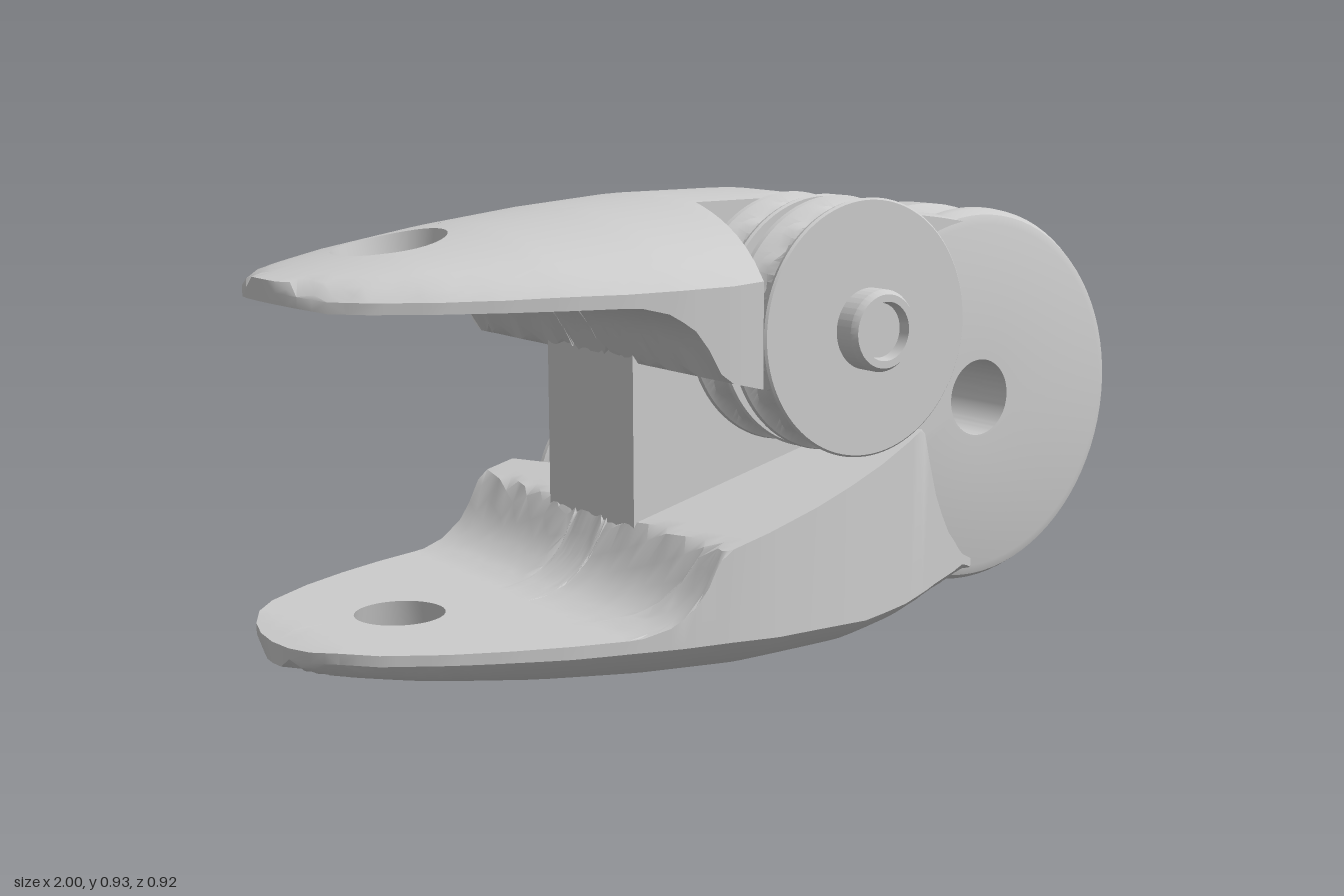
import * as THREE from 'three';
import { toCreasedNormals } from 'three/addons/utils/BufferGeometryUtils.js';

const MID = 0.468; // height of the axis about which the two halves mirror
const grey = new THREE.MeshStandardMaterial({ color: 0xcccccc });

function part(name, geometry, crease = 0.6) {
  const mesh = new THREE.Mesh(toCreasedNormals(geometry, crease), grey);
  mesh.name = name;
  return mesh;
}

// Linear interpolation in a list of [x, value]
function lookup(table, x) {
  if (x <= table[0][0]) return table[0][1];
  for (let i = 1; i < table.length; i++) {
    const [a, va] = table[i - 1], [b, vb] = table[i];
    if (x <= b) return va + (vb - va) * (x - a) / (b - a);
  }
  return table[table.length - 1][1];
}

// Split every edge longer than max, so that a flat slab can be bent smoothly
function subdivide(geometry, max) {
  const src = geometry.index ? geometry.toNonIndexed() : geometry;
  const p = src.attributes.position, out = [], stack = [];
  for (let i = 0; i < p.count; i += 3) {
    stack.push([0, 1, 2].map(k => new THREE.Vector3().fromBufferAttribute(p, i + k)));
  }
  while (stack.length) {
    const t = stack.pop();
    const len = [0, 1, 2].map(k => t[k].distanceTo(t[(k + 1) % 3]));
    const k = len.indexOf(Math.max(...len));
    if (len[k] <= max) { t.forEach(v => out.push(v.x, v.y, v.z)); continue; }
    const a = t[k], b = t[(k + 1) % 3], c = t[(k + 2) % 3];
    const m = a.clone().add(b).multiplyScalar(0.5);
    stack.push([a, m, c], [m, b, c]);
  }
  const g = new THREE.BufferGeometry();
  g.setAttribute('position', new THREE.Float32BufferAttribute(out, 3));
  return g;
}

// Half width of the leaf-shaped plan, crest height and underside height along x
const HALF = [[-1, 0], [-0.995, 0.06], [-0.98, 0.115], [-0.95, 0.17], [-0.9, 0.225], [-0.8, 0.29],
  [-0.7, 0.338], [-0.6, 0.377], [-0.5, 0.408], [-0.4, 0.432], [-0.3, 0.446], [-0.22, 0.449],
  [-0.1, 0.44], [0, 0.421], [0.1, 0.394], [0.2, 0.356], [0.3, 0.311], [0.45, 0.23], [0.57, 0.155]];
const CREST = [[-1, 0.815], [-0.8, 0.857], [-0.6, 0.89], [-0.4, 0.915], [-0.2, 0.932],
  [0.05, 0.934], [0.2, 0.917], [0.35, 0.889], [0.5, 0.872], [0.57, 0.87]];
const UNDER = [[-1, 0.775], [-0.95, 0.765], [-0.48, 0.765], [-0.42, 0.75], [-0.37, 0.715],
  [-0.34, 0.67], [-0.318, 0.624], [0.27, 0.476], [0.32, 0.606], [0.4, 0.716], [0.5, 0.796], [0.57, 0.826]];
const EYE = -0.745, SLOT = 0.19;

function topHeight(x, z) {
  const w = Math.min(1, Math.abs(z) / Math.max(0.05, lookup(HALF, x)));
  let y = lookup(CREST, x) - 0.5 * z * z - 0.03 * w ** 8;
  if (x > 0.2) y -= 0.045 * Math.exp(-(((z - 0.035) / 0.045) ** 4)); // rope channel
  return Math.max(y, lookup(UNDER, x) + 0.02);
}

function jaw() {
  // Plan: full leaf at the back, cut away for the sheaves at the front
  const back = HALF.map(([x, h]) => new THREE.Vector2(x, h)).reverse();
  const front = HALF.filter(([x]) => x > -1 && x < -0.23).map(([x, h]) => new THREE.Vector2(x, -h));
  const cut = [[-0.235, -0.448], [-0.17, -0.15], [0.57, -0.15]].map(p => new THREE.Vector2(...p));
  const shape = new THREE.Shape([...back, ...front, ...cut]);
  const eye = new THREE.Path().absarc(EYE, 0, 0.085, 0, Math.PI * 2, true);
  const slot = new THREE.Path();
  slot.absarc(SLOT, 0.03, 0.057, 0, Math.PI, false);
  slot.absarc(SLOT, -0.03, 0.057, Math.PI, Math.PI * 2, false);
  slot.closePath();
  shape.holes.push(eye, slot);

  const depth = 0.03;
  const flat = new THREE.ExtrudeGeometry(shape, { depth, bevelEnabled: false, curveSegments: 16 });
  flat.rotateX(-Math.PI / 2);
  const g = subdivide(flat, 0.045), p = g.attributes.position;
  for (let i = 0; i < p.count; i++) {
    let x = p.getX(i), z = p.getZ(i);
    const isTop = p.getY(i) > depth / 2;
    const d = Math.hypot(x - EYE, z);
    if (isTop && d < 0.16) { // countersink around the eye
      const s = (0.106 + (d - 0.085) * 0.72) / d;
      x = EYE + (x - EYE) * s;
      z *= s;
    }
    p.setXYZ(i, x, isTop ? topHeight(x, z) : lookup(UNDER, x), z);
  }
  return part('jaw', g);
}

// Side wall of the core, beside the rope slot
function cheekPlate() {
  const s = new THREE.Shape([[-0.32, 0.08], [0.2, 0.066], [0.44, 0.084], [0.44, 0.852], [0.2, 0.87], [-0.32, 0.856]]
    .map(p => new THREE.Vector2(...p)));
  const g = new THREE.ExtrudeGeometry(s, { depth: 0.073, bevelEnabled: false });
  return part('cheekPlate', g.translate(0, 0, 0.08));
}

function lathe(points, segments) {
  const g = new THREE.LatheGeometry(points.map(p => new THREE.Vector2(...p)), segments);
  return g.rotateX(Math.PI / 2); // axis along z
}

// Grooved sheave with a wavy rope grip
function sheave(z, width) {
  const h = width / 2;
  const g = lathe([[0.03, -h], [0.243, -h], [0.247, -h + 0.004], [0.245, -h + 0.012], [0.227, -h * 0.55],
    [0.217, -h * 0.25], [0.217, h * 0.25], [0.227, h * 0.55], [0.245, h - 0.012], [0.247, h - 0.004],
    [0.243, h], [0.03, h]], 96);
  const p = g.attributes.position;
  for (let i = 0; i < p.count; i++) {
    const x = p.getX(i), y = p.getY(i), zz = p.getZ(i);
    if (Math.abs(zz) > h * 0.6) continue;
    const wave = Math.cos(16 * Math.atan2(y, x));
    const s = 1 + 0.022 * wave * Math.sign(zz);
    p.setXYZ(i, x * s, y * s, zz + 0.004 * wave);
  }
  const mesh = part('sheave', g, 0.45);
  mesh.position.z = z;
  return mesh;
}

function pulleyPair() {
  const group = new THREE.Group();
  group.name = 'pulleyPair';
  group.add(sheave(0.219, 0.108), sheave(0.356, 0.108));
  group.add(part('axle', lathe([[0, 0.14], [0.078, 0.14], [0.078, 0.45], [0.07, 0.462],
    [0.056, 0.462], [0.052, 0.44], [0, 0.44]], 40)));
  group.position.set(0.045, 0.688, 0);
  return group;
}

// Large rounded end with an eye and a drifting rope groove in its rim
function endDisc() {
  const R = 0.41, g = lathe([[0.083, -0.155], [0.375, -0.155], [0.396, -0.147], [0.408, -0.128], [R, -0.11],
    [R, -0.07], [0.395, -0.052], [0.376, -0.035], [0.367, 0], [0.376, 0.035], [0.395, 0.052], [R, 0.07],
    [R, 0.11], [0.408, 0.128], [0.396, 0.147], [0.375, 0.155], [0.083, 0.155], [0.083, -0.155]], 80);
  const p = g.attributes.position;
  for (let i = 0; i < p.count; i++) {
    const x = p.getX(i), y = p.getY(i), z = p.getZ(i);
    const shift = Math.abs(z) < 0.08 ? 0.035 * y / R : 0;
    p.setXYZ(i, Math.max(x + 0.585, 0.25), y + MID, z + shift);
  }
  return part('endDisc', g);
}

function half(name) {
  const group = new THREE.Group();
  group.name = name;
  group.add(jaw(), cheekPlate(), pulleyPair());
  return group;
}

export function createModel() {
  const model = new THREE.Group();
  model.name = 'pulleyBlock';
  const upper = half('upperHalf');
  // The lower half is the upper one turned half a turn about the long axis
  const lower = half('lowerHalf');
  lower.rotation.x = Math.PI;
  lower.position.y = 2 * MID;
  const core = part('coreBlock', new THREE.BoxGeometry(0.453, 0.74, 0.17).translate(-0.0935, MID, 0));
  model.add(upper, lower, core, endDisc());
  return model;
}
